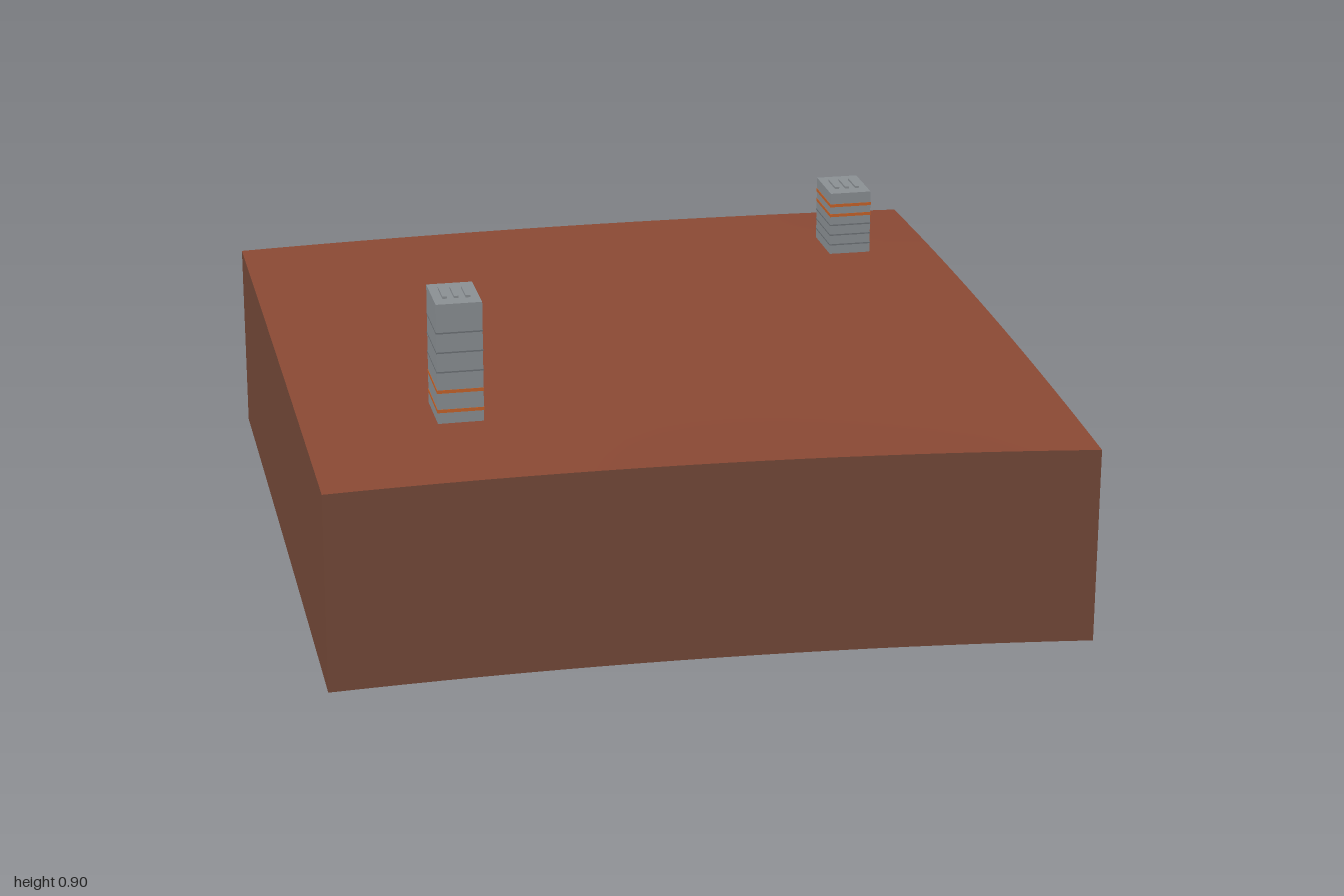
import * as THREE from 'three';

const mat = (name, color, side = THREE.FrontSide) => {
  const m = new THREE.MeshStandardMaterial({ color, side });
  m.name = name;
  return m;
};

// Gentle hill: quadratic blend through a 3 x 3 grid of heights (rows z = -1, 0, 1)
const HEIGHTS = [
  [0.56, 0.575, 0.562],
  [0.572, 0.573, 0.57],
  [0.576, 0.58, 0.537],
];
const blend = ([a, b, c], t) => (a * t * (t - 1)) / 2 + b * (1 - t * t) + (c * t * (t + 1)) / 2;
const groundY = (x, z) => blend(HEIGHTS.map((row) => blend(row, x)), z);

export function createModel() {
  const soil = mat('red soil', 0x8c4a35, THREE.DoubleSide);
  const cliff = mat('brown cliff', 0x764a39, THREE.DoubleSide);
  const concrete = mat('grey concrete', 0x8c9195);
  const darkTrim = mat('dark grey trim', 0x6e7377);
  const orange = mat('orange light', 0xc8642a);

  const model = new THREE.Group();
  const add = (parent, name, geometry, material, x = 0, y = 0, z = 0) => {
    const mesh = new THREE.Mesh(geometry, material);
    mesh.name = name;
    mesh.position.set(x, y, z);
    parent.add(mesh);
    return mesh;
  };

  // Ground surface
  const N = 20;
  const ground = new THREE.PlaneGeometry(2, 2, N, N).rotateX(-Math.PI / 2);
  const p = ground.attributes.position;
  for (let i = 0; i < p.count; i++) p.setY(i, groundY(p.getX(i), p.getZ(i)));
  ground.computeVertexNormals();
  add(model, 'ground', ground, soil);

  // Four skirt walls of constant depth, open underneath
  const depth = 0.533;
  const sides = { frontSkirt: 0, leftSkirt: 1, backSkirt: 2, rightSkirt: 3 };
  for (const [name, k] of Object.entries(sides)) {
    const wall = new THREE.PlaneGeometry(2, 1, N, 1).translate(0, 0, 1).rotateY((k * Math.PI) / 2);
    const w = wall.attributes.position;
    for (let i = 0; i < w.count; i++) {
      w.setY(i, groundY(w.getX(i), w.getZ(i)) - (w.getY(i) < 0 ? depth : 0));
    }
    add(model, name, wall, cliff);
  }

  // Towers with floor strips, two lit strips and three roof ribs
  const W = 0.12, D = 0.165;
  const tower = (name, x, z, top, strips, lit) => {
    const g = new THREE.Group();
    g.name = name;
    g.position.set(x, 0, z);
    const base = groundY(x, z) - 0.001;
    add(g, 'towerBody', new THREE.BoxGeometry(W, top - base, D), concrete, 0, (top + base) / 2, 0);
    for (const y of strips) {
      const on = lit.includes(y);
      add(g, on ? 'litStrip' : 'floorStrip',
        new THREE.BoxGeometry(W + 0.002, on ? 0.009 : 0.004, D + 0.002), on ? orange : darkTrim, 0, y, 0);
    }
    for (const dx of [-0.03, 0, 0.03]) {
      add(g, 'roofRib', new THREE.BoxGeometry(0.012, 0.008, 0.08), concrete, dx, top + 0.002, 0);
    }
    model.add(g);
  };
  tower('tallTower', -0.59, 0.5, 0.902, [0.612, 0.665, 0.718, 0.771, 0.824], [0.612, 0.665]);
  tower('shortTower', 0.75, -0.67, 0.757, [0.6, 0.63, 0.66, 0.69, 0.72], [0.69, 0.72]);

  // Small buried slab showing under the ground
  add(model, 'buriedSlab', new THREE.BoxGeometry(0.16, 0.006, 0.03), concrete, 0.48, groundY(0.48, 0.51) - 0.008, 0.51);

  return model;
}
